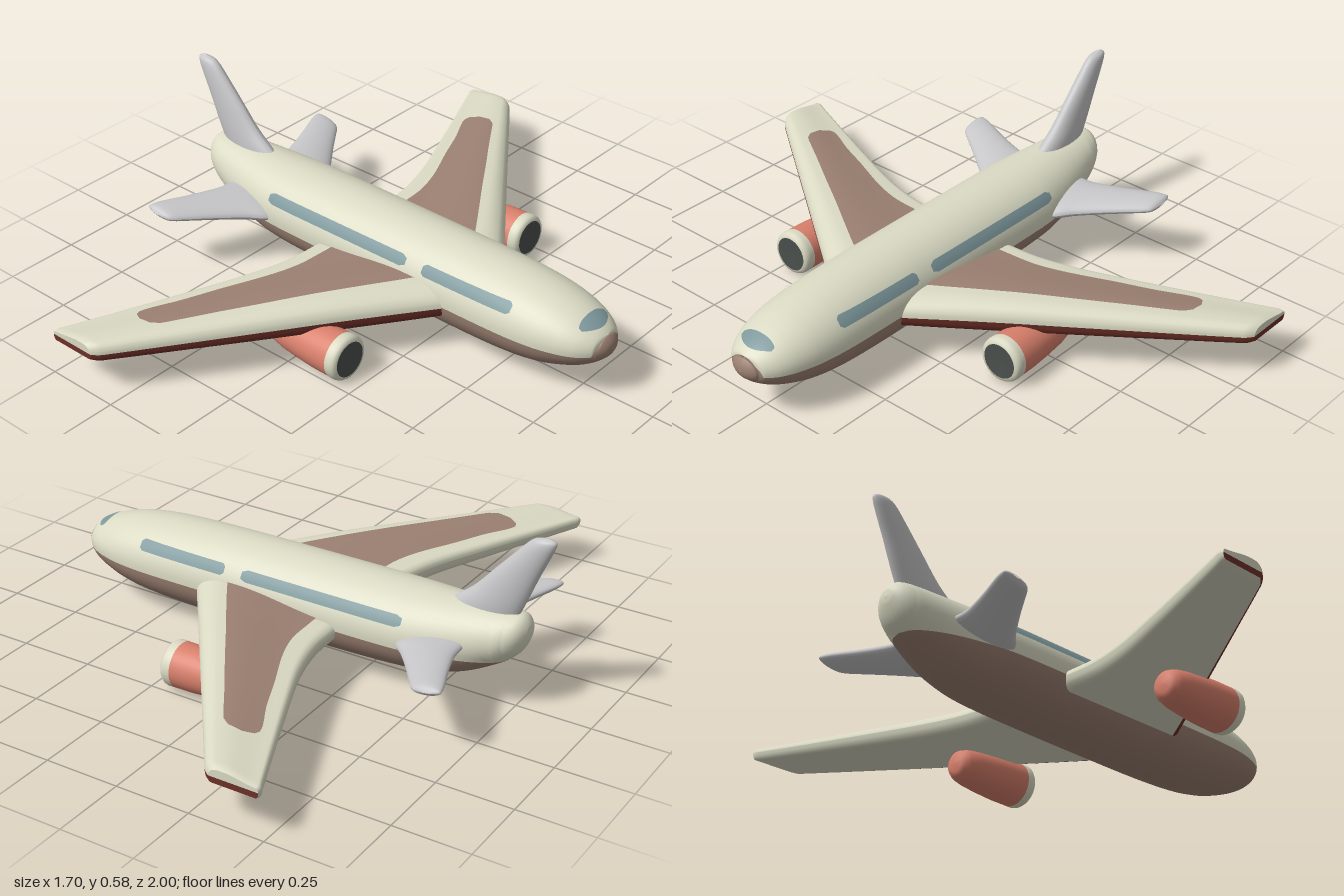
import * as THREE from 'three';

const mat = (name, color, side = THREE.FrontSide) => {
  const m = new THREE.MeshStandardMaterial({ color, side });
  m.name = name;
  return m;
};
const CREAM = mat('cream', 0xdadac4), BROWN = mat('brown', 0x9c8172), MAROON = mat('maroon', 0x6e3028);
const CORAL = mat('coral', 0xd9806c), GLASS = mat('blue grey', 0x7d989c), GREY = mat('light grey', 0xc6c6c8);
const DARK = mat('dark grey', 0x4a4f4c);

// Smooth surface through rows of points; side -1 mirrors it across z
function grid(rows, flip = false, side = 1) {
  const n = rows[0].length, pos = [], idx = [];
  const turn = flip !== (side < 0);
  rows.forEach(r => r.forEach(p => pos.push(p[0], p[1], p[2] * side)));
  for (let i = 0; i < rows.length - 1; i++) {
    for (let j = 0; j < n - 1; j++) {
      const a = i * n + j, b = a + n, c = a + 1, d = b + 1;
      idx.push(...(turn ? [a, c, b, c, d, b] : [a, b, c, c, b, d]));
    }
  }
  const g = new THREE.BufferGeometry();
  g.setAttribute('position', new THREE.Float32BufferAttribute(pos, 3));
  g.setIndex(idx);
  g.computeVertexNormals();
  return g;
}
const mesh = (parent, name, geo, material) => {
  const m = new THREE.Mesh(geo, material);
  m.name = name;
  parent.add(m);
  return m;
};
const steps = (n, f) => Array.from({ length: n + 1 }, (_, i) => f(i / n));
const lerp = THREE.MathUtils.lerp;

// Smooth interpolation of table rows [key, ...values]
function sample(table, x) {
  let k = 0;
  while (k < table.length - 2 && x > table[k + 1][0]) k++;
  const slope = (i, c) => {
    const a = table[Math.max(i - 1, 0)], b = table[Math.min(i + 1, table.length - 1)];
    return (b[c] - a[c]) / (b[0] - a[0]);
  };
  const p = table[k], q = table[k + 1], h = q[0] - p[0], f = (x - p[0]) / h, f2 = f * f, f3 = f2 * f;
  return p.slice(1).map((v, i) => (2 * f3 - 3 * f2 + 1) * v + (3 * f2 - 2 * f3) * q[i + 1]
    + h * ((f3 - 2 * f2 + f) * slope(k, i + 1) + (f3 - f2) * slope(k + 1, i + 1)));
}

// Fuselage stations: x, top, bottom, half width
const BODY = [
  [-0.787, 0.266, 0.264, 0.001], [-0.783, 0.29, 0.24, 0.026], [-0.765, 0.313, 0.2, 0.058], [-0.74, 0.319, 0.172, 0.078],
  [-0.7, 0.32, 0.143, 0.094], [-0.6, 0.32, 0.09, 0.12], [-0.5, 0.32, 0.062, 0.14], [-0.4, 0.32, 0.05, 0.152],
  [-0.2, 0.32, 0.042, 0.155], [0.2, 0.319, 0.035, 0.155], [0.4, 0.315, 0.035, 0.155], [0.55, 0.306, 0.043, 0.152],
  [0.65, 0.292, 0.059, 0.142], [0.72, 0.274, 0.08, 0.125], [0.77, 0.254, 0.1, 0.104], [0.805, 0.234, 0.12, 0.078],
  [0.83, 0.211, 0.141, 0.048], [0.841, 0.194, 0.157, 0.025], [0.845, 0.177, 0.173, 0.001]];
const section = x => {
  const [top, bottom, rz] = sample(BODY, x);
  return { cy: (top + bottom) / 2, ry: (top - bottom) / 2, rz };
};
const bodyPoint = (x, a, out = 0) => {
  const s = section(x);
  return [x, s.cy + (s.ry + out) * Math.sin(a), (s.rz + out) * Math.cos(a)];
};

function buildFuselage(root) {
  const xs = [];
  BODY.slice(1).forEach((b, k) => { for (let i = 0; i < 5; i++) xs.push(lerp(BODY[k][0], b[0], i / 5)); });
  xs.push(0.845);
  // The belly colour climbs over the tip of the nose
  const split = x => {
    const s = section(x), y = 0.165 + 0.08 * THREE.MathUtils.smoothstep(x, 0.814, 0.832);
    return Math.asin(THREE.MathUtils.clamp((y - s.cy) / s.ry, -1, 1));
  };
  const half = range => xs.map(x => { const [a, b] = range(split(x)); return steps(24, t => bodyPoint(x, lerp(a, b, t))); });
  mesh(root, 'fuselageUpper', grid(half(a => [a, Math.PI - a])), CREAM);
  mesh(root, 'fuselageBelly', grid(half(a => [Math.PI - a, 2 * Math.PI + a])), BROWN);

  // Window bands
  for (const side of [1, -1]) {
    for (const [x0, x1] of [[-0.42, 0.16], [0.225, 0.56]]) {
      const rows = steps(30, t => {
        const x = lerp(x0, x1, t), s = section(x), edge = Math.min(x - x0, x1 - x);
        const h = 0.009 + 0.007 * Math.min(1, edge / 0.01);
        return steps(4, v => bodyPoint(x, Math.asin((0.251 + h * (2 * v - 1) - s.cy) / s.ry), 0.003));
      });
      mesh(root, 'windowBand', grid(rows, false, side), GLASS);
    }
  }
  // Cockpit window
  const pane = steps(8, t => steps(16, v => {
    const w = 2 * v - 1, x = lerp(0.755 + 0.008 * w ** 4, 0.805 - 0.03 * w * w, t);
    return bodyPoint(x, Math.acos(0.062 * w / section(x).rz), 0.003);
  }));
  mesh(root, 'cockpitWindow', grid(pane, true), GLASS);
}

// Wing stations: z, leading x, trailing x, bottom, top
const WING = [
  [0.06, 0.39, -0.2, 0.12, 0.217], [0.16, 0.316, -0.2, 0.12, 0.217], [0.28, 0.226, -0.208, 0.12, 0.217],
  [0.42, 0.122, -0.245, 0.121, 0.214], [0.6, -0.012, -0.318, 0.122, 0.205], [0.8, -0.161, -0.404, 0.124, 0.194],
  [0.96, -0.28, -0.474, 0.126, 0.186], [0.985, -0.3, -0.485, 0.127, 0.184], [1, -0.32, -0.484, 0.132, 0.178]];
const MID = 0.42;
const blunt = (u, r) => Math.sqrt(1 - (1 - Math.min(1, u / r)) ** 2);
const upper = u => MID + (1 - MID) * blunt(u, 0.2) * (1 - 0.55 * THREE.MathUtils.smoothstep(u, 0.3, 1)) * blunt(1 - u, 0.06);
const lower = u => MID * (1 - blunt(u, 0.06) * blunt(1 - u, 0.06));
const wingPoint = (z, u, shape) => {
  const [lead, trail, bottom, top] = sample(WING, z);
  return [lerp(lead, trail, u), lerp(bottom, top, shape(u)), z];
};
// Wing panel outline: z, front x, rear x
const PANEL = [
  [0.13, 0.215, -0.13], [0.2, 0.17, -0.133], [0.3, 0.103, -0.14], [0.4, 0.035, -0.17], [0.55, -0.065, -0.238],
  [0.66, -0.14, -0.285], [0.77, -0.213, -0.34], [0.8, -0.235, -0.335], [0.815, -0.26, -0.305]];

function buildWing(root, side) {
  const wing = new THREE.Group();
  wing.name = side > 0 ? 'leftWing' : 'rightWing';
  root.add(wing);
  const us = [0, 0.004, 0.012, 0.025, 0.042, 0.06, 0.1, 0.15, 0.2, 0.3, 0.4, 0.5, 0.6, 0.7, 0.8, 0.88, 0.94, 0.965, 0.985, 0.996, 1];
  const zs = [...steps(30, t => lerp(0.06, 0.96, t)), 0.975, 0.985, 0.994, 1];
  const surface = (list, shape) => zs.map(z => list.map(u => wingPoint(z, u, shape)));
  mesh(wing, 'wingTop', grid(surface(us, upper), true, side), CREAM);
  mesh(wing, 'wingLeadingEdge', grid(surface(us.slice(0, 6), lower), false, side), MAROON);
  mesh(wing, 'wingUnderside', grid(surface(us.slice(5), lower), false, side), CREAM);
  const line = shape => us.map(u => wingPoint(1, u, shape));
  mesh(wing, 'wingTipUpper', grid([line(upper), line(() => MID)], true, side), CREAM);
  mesh(wing, 'wingTipLower', grid([line(() => MID), line(lower)], true, side), MAROON);

  const panel = steps(40, t => {
    const z = lerp(0.13, 0.815, t), [front, rear] = sample(PANEL, z), [lead, trail] = sample(WING, z);
    return steps(14, v => {
      const p = wingPoint(z, (lead - lerp(front, rear, v)) / (lead - trail), upper);
      p[1] += 0.004;
      return p;
    });
  });
  mesh(wing, 'wingPanel', grid(panel, true, side), BROWN);
}

function buildEngine(root, side) {
  const engine = new THREE.Group();
  engine.name = side > 0 ? 'leftEngine' : 'rightEngine';
  engine.position.set(0, 0.077, 0.445 * side);
  root.add(engine);
  const turned = (name, pts, material) => {
    const g = new THREE.LatheGeometry(pts.map(p => new THREE.Vector2(...p)), 36);
    mesh(engine, name, g.rotateZ(-Math.PI / 2), material);
  };
  turned('cowling', [[0, -0.095], [0.028, -0.093], [0.043, -0.085], [0.054, -0.067], [0.062, -0.03], [0.068, 0.03],
    [0.073, 0.1], [0.074, 0.168]], CORAL);
  turned('intakeRing', [[0.074, 0.168], [0.075, 0.185], [0.073, 0.196], [0.067, 0.204], [0.058, 0.206]], CREAM);
  turned('intake', [[0.058, 0.206], [0, 0.204]], DARK);
}

// Oval-section fin from stations: span, leading x, trailing x, half thickness
function finRows(table, place) {
  const a = table[0][0], b = table[table.length - 1][0];
  return steps(36, t => {
    const s = lerp(a, b, 1 - (1 - t) ** 1.5), [lead, trail, thick] = sample(table, s);
    return steps(28, v => {
      const w = v * Math.PI * 2;
      return place((lead + trail) / 2 + (lead - trail) / 2 * Math.cos(w), s, thick * Math.sin(w));
    });
  });
}
const TAIL_FIN = [
  [0.27, -0.47, -0.73, 0.036], [0.32, -0.53, -0.75, 0.036], [0.37, -0.592, -0.771, 0.034], [0.45, -0.664, -0.803, 0.03],
  [0.53, -0.736, -0.838, 0.025], [0.562, -0.766, -0.85, 0.021], [0.576, -0.787, -0.848, 0.014], [0.582, -0.815, -0.83, 0.001]];
const STABILISER = [
  [0.06, -0.38, -0.62, 0.03], [0.15, -0.41, -0.622, 0.03], [0.2, -0.457, -0.634, 0.028], [0.28, -0.52, -0.662, 0.024],
  [0.36, -0.578, -0.694, 0.02], [0.39, -0.6, -0.702, 0.017], [0.404, -0.618, -0.7, 0.011], [0.411, -0.65, -0.675, 0.001]];

export function createModel() {
  const root = new THREE.Group();
  root.name = 'airliner';
  buildFuselage(root);
  mesh(root, 'tailFin', grid(finRows(TAIL_FIN, (x, s, t) => [x, s, t])), GREY);
  for (const side of [1, -1]) {
    buildWing(root, side);
    buildEngine(root, side);
    const rows = finRows(STABILISER, (x, s, t) => [x, 0.205 - 0.16 * (x + 0.55) + t, s]);
    mesh(root, side > 0 ? 'leftStabiliser' : 'rightStabiliser', grid(rows, true, side), GREY);
  }
  return root;
}
